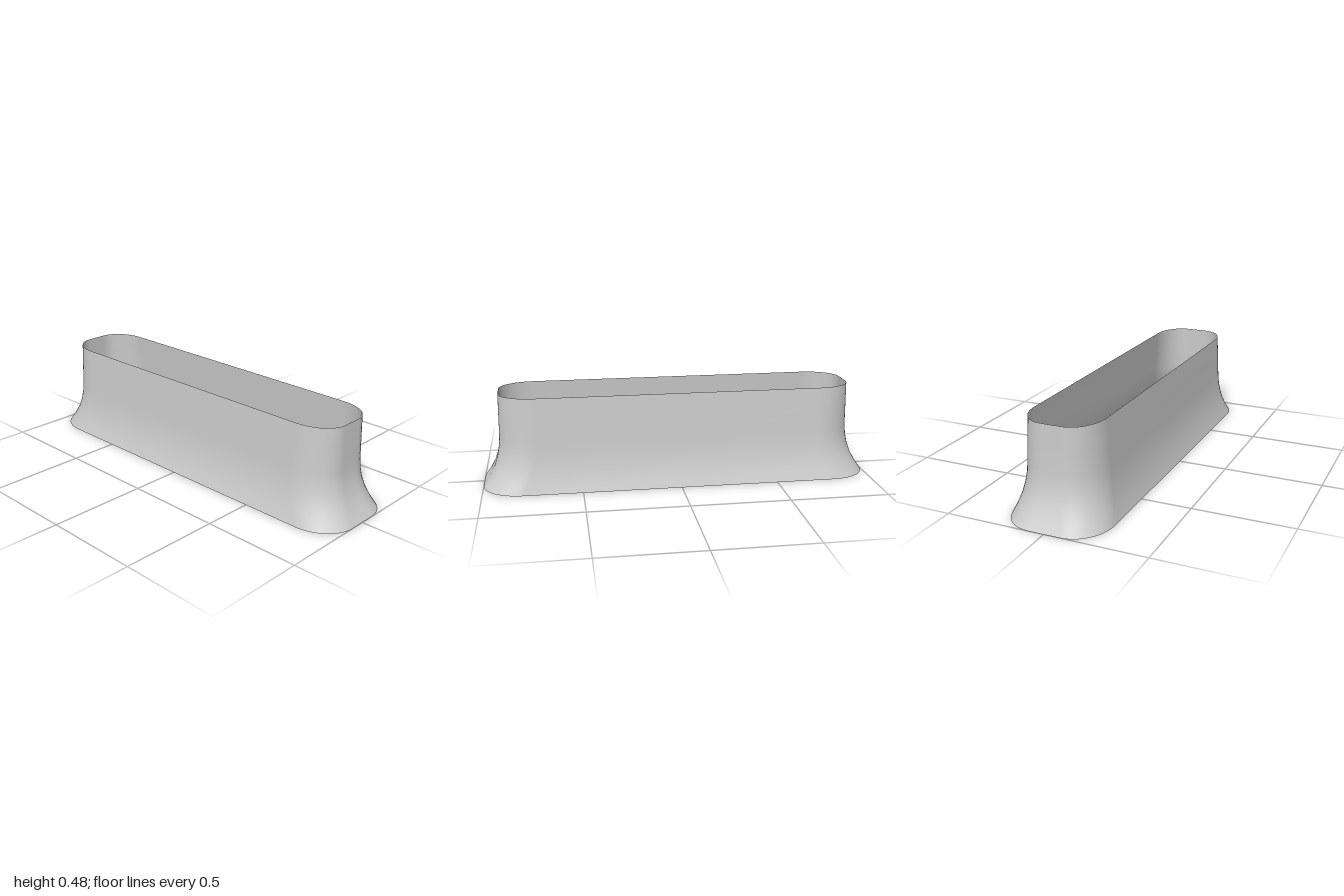
import * as THREE from 'three';

// Flared profile, bottom to top: height, half width, half length
const PROFILE = [
  [0, 0.25, 1], [0.05, 0.232, 0.967], [0.1, 0.218, 0.941], [0.15, 0.208, 0.924],
  [0.2, 0.201, 0.914], [0.25, 0.197, 0.909], [0.36, 0.19, 0.907], [0.478, 0.182, 0.905],
];
const CORNER_STEPS = 12;

// Rounded-rectangle ring with elliptical corners
function ring([y, w, l]) {
  const t = y / 0.478;
  const rx = THREE.MathUtils.lerp(0.17, 0.13, t);
  const rz = THREE.MathUtils.lerp(0.2, 0.175, t);
  const points = [];
  for (let q = 0; q < 4; q++) {
    const sx = q === 0 || q === 3 ? 1 : -1;
    const sz = q < 2 ? 1 : -1;
    for (let i = 0; i <= CORNER_STEPS; i++) {
      const a = (q + i / CORNER_STEPS) * Math.PI / 2;
      points.push(sx * (w - rx) + rx * Math.cos(a), y, sz * (l - rz) + rz * Math.sin(a));
    }
  }
  return points;
}

export function createModel() {
  // Thin open wall lofted through the rings
  const n = 4 * (CORNER_STEPS + 1);
  const index = [];
  for (let j = 0; j < PROFILE.length - 1; j++) {
    for (let i = 0; i < n; i++) {
      const a = j * n + i, b = j * n + (i + 1) % n;
      index.push(a, a + n, b, b, a + n, b + n);
    }
  }
  const geometry = new THREE.BufferGeometry();
  geometry.setAttribute('position', new THREE.Float32BufferAttribute(PROFILE.flatMap(ring), 3));
  geometry.setIndex(index);
  geometry.computeVertexNormals();

  const wall = new THREE.Mesh(geometry, new THREE.MeshStandardMaterial({ color: 0xcccccc, side: THREE.DoubleSide }));
  wall.name = 'flaredWall';
  const model = new THREE.Group();
  model.name = 'flaredSleeve';
  model.add(wall);
  return model;
}
